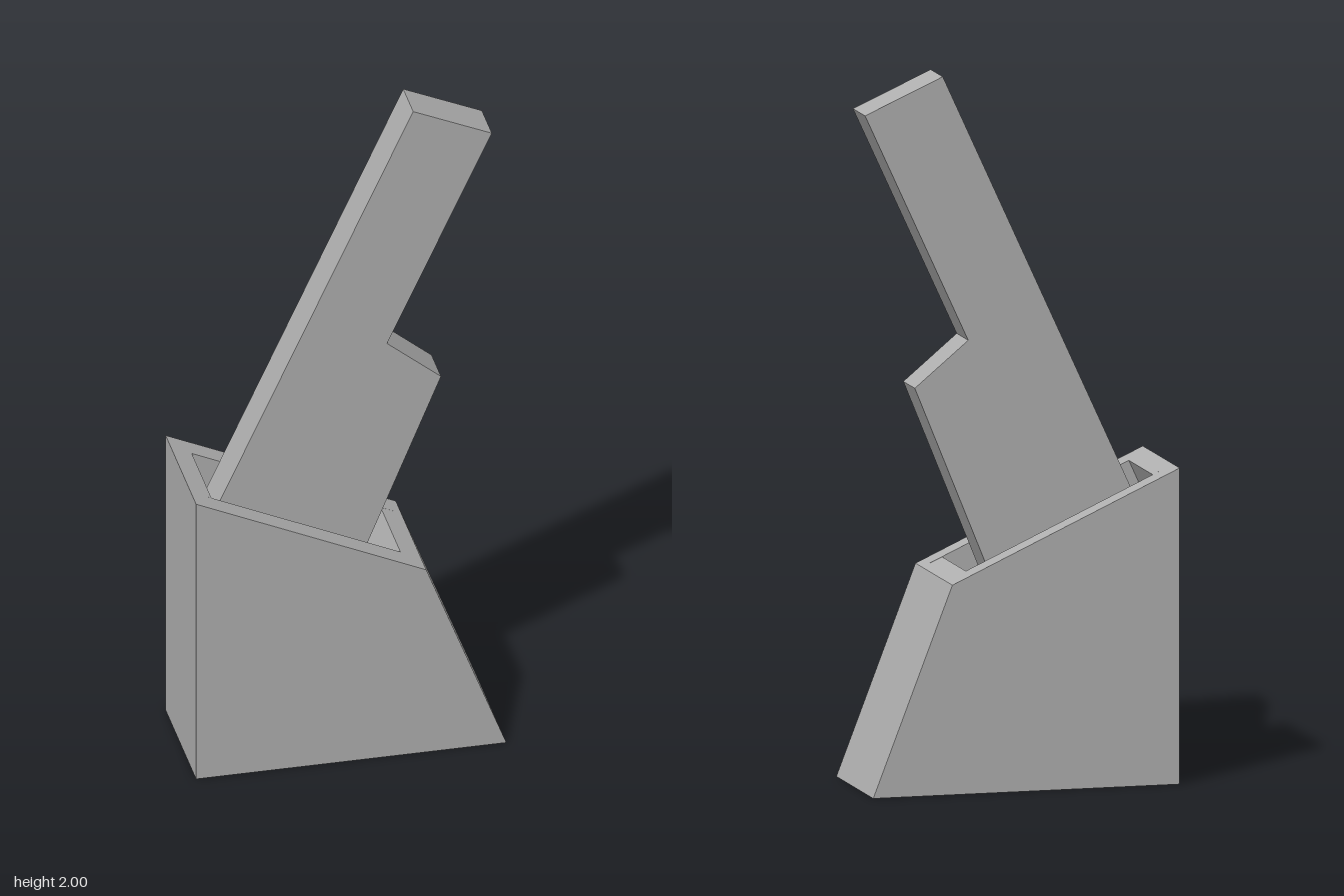
import * as THREE from 'three';

const grey = new THREE.MeshStandardMaterial({ color: 0xb0b0b0 });
grey.name = 'grey';

// Extrude a side profile between two depths
function slab(points, z0, z1) {
  const shape = new THREE.Shape(points.map(([x, y]) => new THREE.Vector2(x, y)));
  const geometry = new THREE.ExtrudeGeometry(shape, { depth: z1 - z0, bevelEnabled: false });
  return geometry.translate(0, 0, z0);
}

function addPart(group, name, geometry) {
  const mesh = new THREE.Mesh(geometry, grey);
  mesh.name = name;
  group.add(mesh);
}

export function createModel() {
  const model = new THREE.Group();
  model.name = 'blockWithHandle';
  const outer = 0.19, inner = 0.123;

  // Solid sides of the block
  const side = [[-0.443, 0], [0.44, 0], [0.212, 0.59], [-0.443, 0.89]];
  addPart(model, 'blockFrontSide', slab(side, inner, outer));
  addPart(model, 'blockBackSide', slab(side, -outer, -inner));

  // Middle of the block, with a pocket sunk square to the sloping top
  const core = [
    [-0.443, 0], [0.44, 0], [0.212, 0.59], [0.154, 0.616],
    [0.096, 0.489], [-0.442, 0.735], [-0.384, 0.863], [-0.443, 0.89],
  ];
  addPart(model, 'blockCore', slab(core, -inner, inner));

  // Handle with a stepped blade, standing on the pocket floor
  const handle = slab([
    [-0.39, 0.705], [0.035, 0.512], [0.285, 1.127],
    [0.131, 1.255], [0.428, 1.9], [0.204, 2],
  ], 0, 1);

  // Thin the handle slightly toward its foot
  const p = handle.attributes.position;
  for (let i = 0; i < p.count; i++) {
    const t = THREE.MathUtils.clamp((p.getY(i) - 0.7) / 1.2, 0, 1);
    const back = THREE.MathUtils.lerp(-0.065, -0.063, t);
    const front = THREE.MathUtils.lerp(0.05, 0.062, t);
    p.setZ(i, p.getZ(i) > 0.5 ? front : back);
  }
  handle.computeVertexNormals();
  addPart(model, 'handle', handle);

  return model;
}
